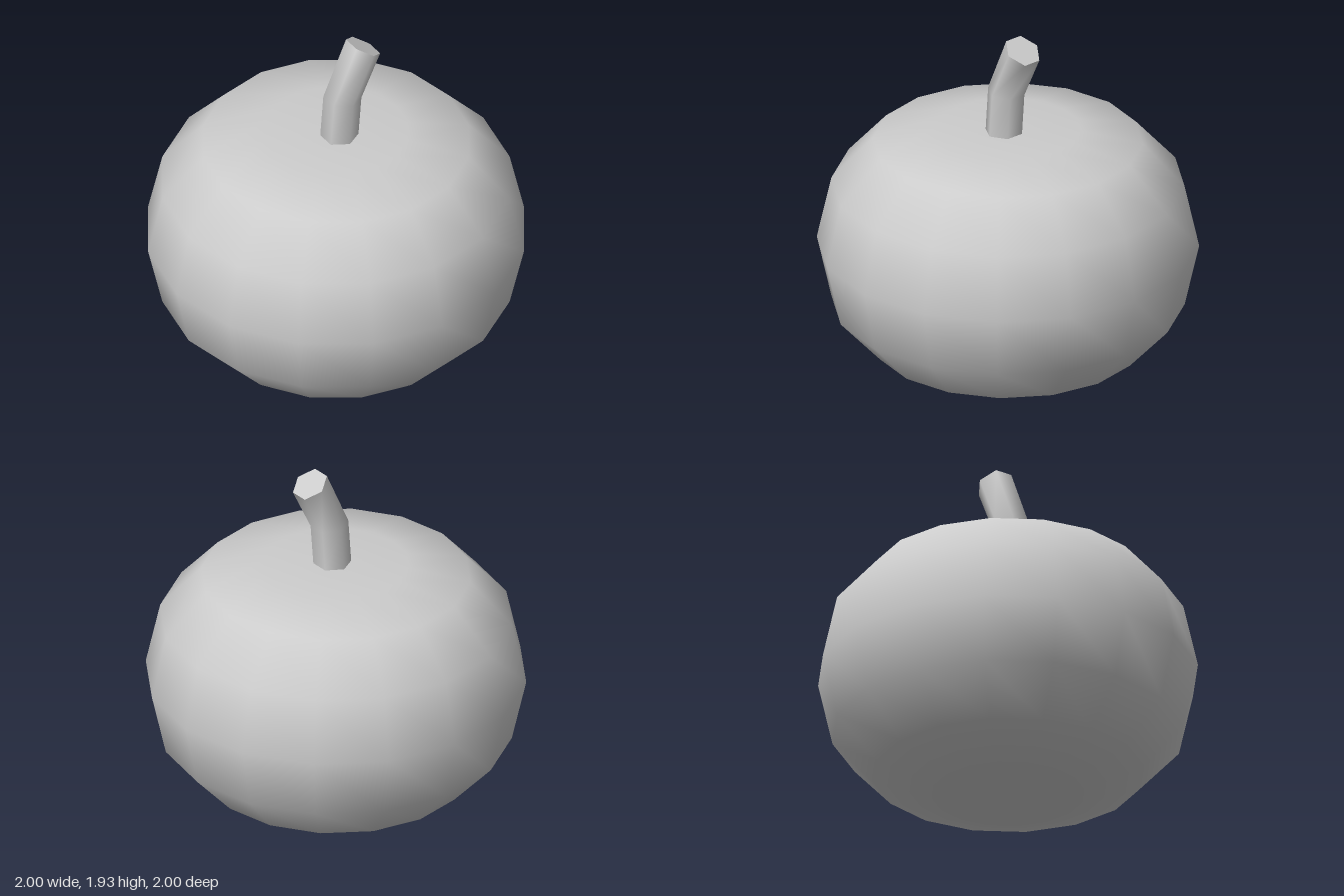
import * as THREE from 'three';

const material = () => new THREE.MeshStandardMaterial({ color: 0xcccccc });

// Squashed round body with a flattened top: [radius, height] from bottom to top
function createBody() {
  const profile = [
    [0, 0], [0.38, 0.03], [0.707, 0.145], [0.924, 0.38], [1, 0.72],
    [0.924, 1.06], [0.707, 1.3], [0.383, 1.367], [0, 1.362],
  ].map(([r, y]) => new THREE.Vector2(r, y));
  const body = new THREE.Mesh(new THREE.LatheGeometry(profile, 16), material());
  body.name = 'body';
  return body;
}

// Six-sided stalk, bent by placing and tilting each ring of a cylinder
function createStem() {
  const geometry = new THREE.CylinderGeometry(0.1, 0.1, 2, 6, 2);
  const rings = [
    { x: 0.0, y: 1.35, tilt: 0 },
    { x: 0.02, y: 1.602, tilt: -0.09 },
    { x: 0.15, y: 1.88, tilt: -0.55 },
  ];
  const position = geometry.attributes.position;
  const normal = geometry.attributes.normal;
  const axis = new THREE.Vector3(0, 0, 1);
  const v = new THREE.Vector3();
  for (let i = 0; i < position.count; i++) {
    const ring = rings[Math.round(position.getY(i)) + 1];
    v.set(position.getX(i), 0, position.getZ(i)).applyAxisAngle(axis, ring.tilt);
    position.setXYZ(i, v.x + ring.x, v.y + ring.y, v.z + 0.03);
    v.fromBufferAttribute(normal, i).applyAxisAngle(axis, ring.tilt);
    normal.setXYZ(i, v.x, v.y, v.z);
  }
  const stem = new THREE.Mesh(geometry, material());
  stem.name = 'stem';
  return stem;
}

export function createModel() {
  const group = new THREE.Group();
  group.name = 'pumpkin';
  group.add(createBody(), createStem());
  return group;
}
